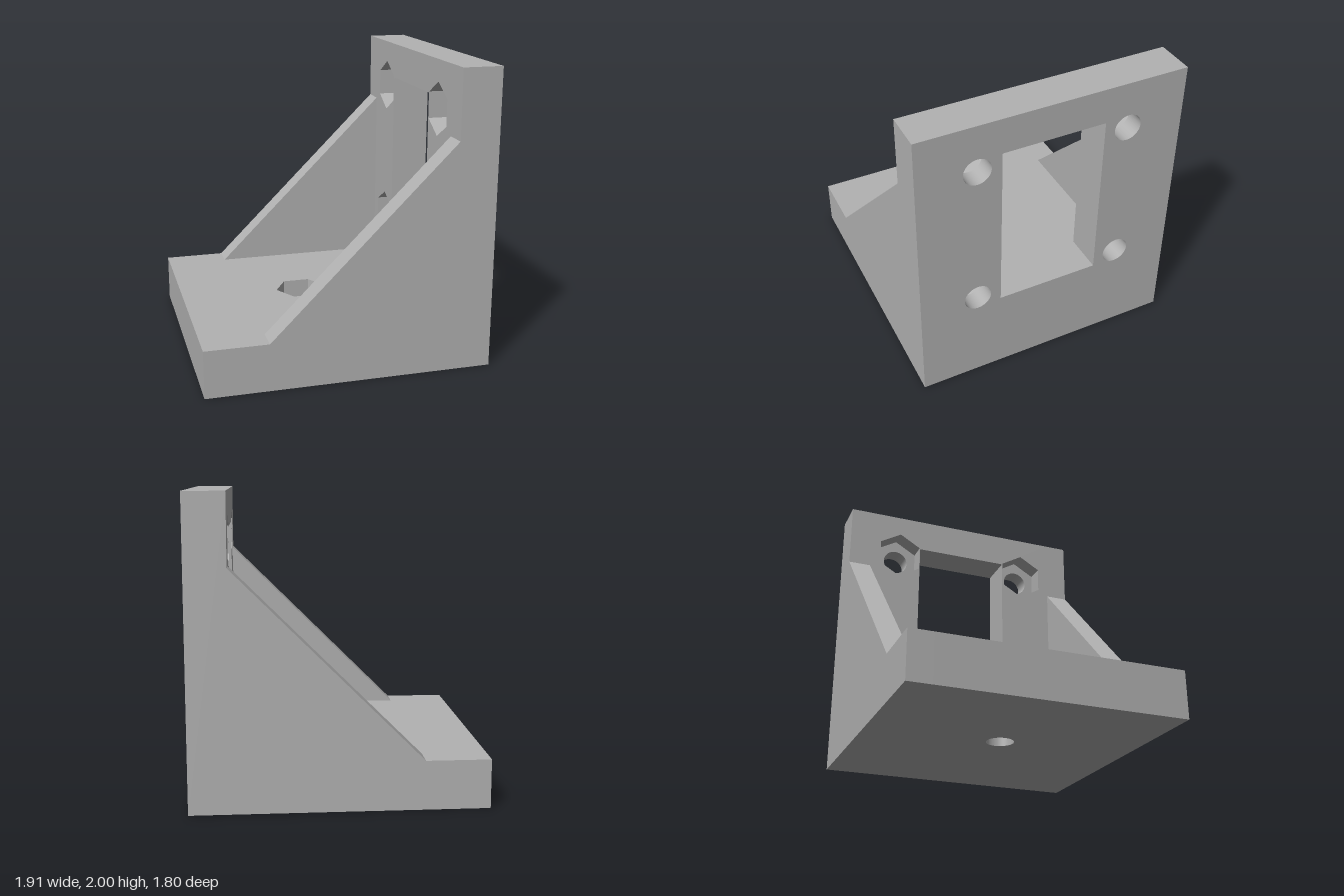
import * as THREE from 'three';

const HALF_X = 0.955, HALF_Z = 0.9, HEIGHT = 2;
const WALL_X = 0.69, BASE_Y = 0.32, RIB = 0.16;
const INNER_Z = HALF_Z - RIB;
const BOLT_R = 0.092, NUT_R = 0.18;

function rect(Type, x0, y0, x1, y1) {
  return new Type().moveTo(x0, y0).lineTo(x1, y0).lineTo(x1, y1).lineTo(x0, y1).closePath();
}

function boltHole(x, y) {
  return new THREE.Path().absarc(x, y, BOLT_R, 0, Math.PI * 2, true);
}

function nutPocket(x, y, turn) {
  const points = [];
  for (let i = 0; i < 6; i++) {
    const a = turn + i * Math.PI / 3;
    points.push(new THREE.Vector2(x + NUT_R * Math.cos(a), y + NUT_R * Math.sin(a)));
  }
  return new THREE.Path(points).closePath();
}

function extrude(shape, depth) {
  return new THREE.ExtrudeGeometry(shape, { depth, bevelEnabled: false, curveSegments: 48 });
}

export function createModel() {
  const model = new THREE.Group();
  model.name = 'mountingBracket';
  const grey = new THREE.MeshStandardMaterial({ color: 0xb2b2b2 });
  grey.name = 'grey';

  const add = (name, geometry) => {
    const mesh = new THREE.Mesh(geometry, grey);
    mesh.name = name;
    model.add(mesh);
  };

  // Side cheeks: full bracket profile with the sloping rib
  const profile = new THREE.Shape([
    [-HALF_X, 0], [HALF_X, 0], [HALF_X, HEIGHT], [WALL_X, HEIGHT],
    [WALL_X, 1.54], [-0.535, BASE_Y], [-HALF_X, BASE_Y],
  ].map(([x, y]) => new THREE.Vector2(x, y)));
  add('leftRib', extrude(profile, RIB).translate(0, 0, INNER_Z));
  add('rightRib', extrude(profile, RIB).translate(0, 0, -HALF_Z));

  // Base plate: round hole below, hexagonal nut pocket above
  const baseLayer = (name, hole, y0, y1) => {
    const shape = rect(THREE.Shape, -HALF_X, -INNER_Z, WALL_X, INNER_Z);
    shape.holes.push(hole);
    add(name, extrude(shape, y1 - y0).rotateX(-Math.PI / 2).translate(0, y0, 0));
  };
  baseLayer('baseLower', boltHole(-0.108, 0), 0, 0.08);
  baseLayer('baseUpper', nutPocket(-0.108, 0, 0), 0.08, BASE_Y);

  // Upright wall: window, nut pockets inside and bolt holes outside
  const wallLayer = (name, makeHole, x0, x1) => {
    const shape = rect(THREE.Shape, -INNER_Z, 0, INNER_Z, HEIGHT);
    shape.holes.push(rect(THREE.Path, -0.346, 0.59, 0.346, 1.757));
    for (const z of [-0.507, 0.507])
      for (const y of [0.665, 1.675]) shape.holes.push(makeHole(z, y));
    add(name, extrude(shape, x1 - x0).rotateY(Math.PI / 2).translate(x0, 0, 0));
  };
  const pocketEnd = WALL_X + 0.133;
  wallLayer('wallInner', (z, y) => nutPocket(z, y, Math.PI / 2), WALL_X, pocketEnd);
  wallLayer('wallOuter', boltHole, pocketEnd, HALF_X);

  return model;
}
